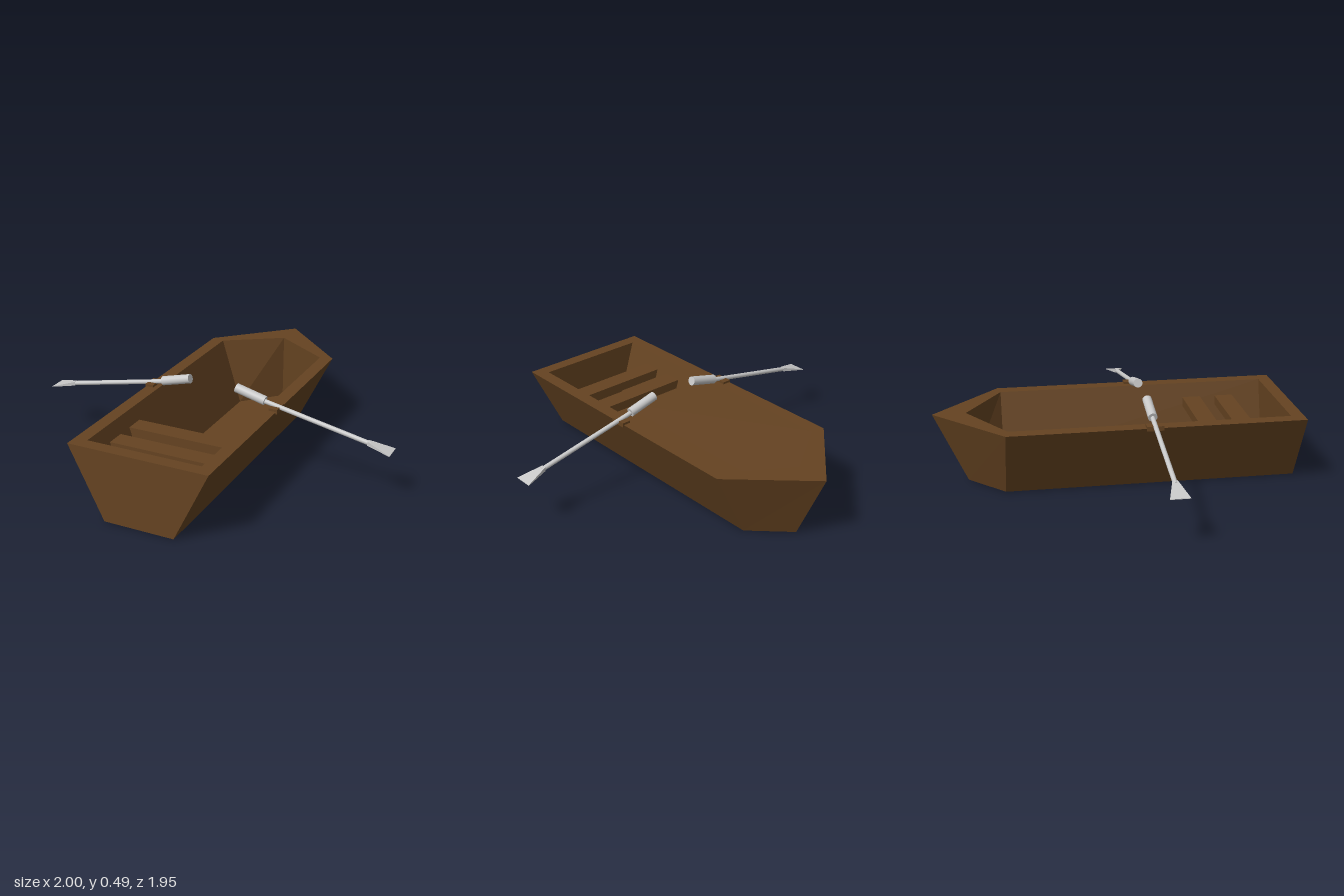
import * as THREE from 'three';

const wood = new THREE.MeshStandardMaterial({ color: 0x654321 });
wood.name = 'brown wood';
const metal = new THREE.MeshStandardMaterial({ color: 0xc8c8c8 });
metal.name = 'light grey';

function add(parent, name, geometry, material) {
  const mesh = new THREE.Mesh(geometry, material);
  mesh.name = name;
  parent.add(mesh);
  return mesh;
}

// Five-cornered boat outline at height y, counterclockwise from above
function outline(y, halfWidth, stern, shoulder, tip) {
  return [
    [-halfWidth, y, stern], [halfWidth, y, stern], [halfWidth, y, shoulder],
    [0, y, tip], [-halfWidth, y, shoulder],
  ];
}

// Closed, flat-faced skin through the outlines: outside, rim, inside
function hullGeometry() {
  const rings = [
    outline(0, 0.193, 0.975, -0.61, -0.8),
    outline(0.388, 0.383, 0.975, -0.61, -0.977),
    outline(0.388, 0.312, 0.905, -0.595, -0.798),
    outline(0.01, 0.196, 0.905, -0.595, -0.796),
  ];
  const positions = [];
  const tri = (a, b, c) => positions.push(...a, ...b, ...c);
  for (let r = 0; r < rings.length - 1; r++) {
    for (let i = 0; i < 5; i++) {
      const j = (i + 1) % 5;
      tri(rings[r][i], rings[r][j], rings[r + 1][j]);
      tri(rings[r][i], rings[r + 1][j], rings[r + 1][i]);
    }
  }
  const bottom = rings[0], floor = rings[3];
  for (let i = 1; i < 4; i++) {
    tri(bottom[0], bottom[i + 1], bottom[i]);
    tri(floor[0], floor[i], floor[i + 1]);
  }
  const geometry = new THREE.BufferGeometry();
  geometry.setAttribute('position', new THREE.Float32BufferAttribute(positions, 3));
  geometry.computeVertexNormals();
  return geometry;
}

// Round rod between two points in the xy plane
function rod(x0, y0, x1, y1, radius) {
  const dx = x1 - x0, dy = y1 - y0;
  return new THREE.CylinderGeometry(radius, radius, Math.hypot(dx, dy), 20)
    .rotateZ(Math.atan2(dy, dx) - Math.PI / 2)
    .translate((x0 + x1) / 2, (y0 + y1) / 2, 0);
}

// Blade that widens and thins towards its outer end
function bladeGeometry() {
  const geometry = new THREE.BoxGeometry(1, 1, 1).toNonIndexed();
  const p = geometry.attributes.position;
  for (let i = 0; i < p.count; i++) {
    const t = p.getX(i) + 0.5;
    p.setXYZ(i,
      0.87 + 0.13 * t,
      0.298 - 0.027 * t + p.getY(i) * (0.022 - 0.019 * t),
      p.getZ(i) * (0.026 + 0.076 * t));
  }
  geometry.computeVertexNormals();
  return geometry;
}

function oar(name) {
  const group = new THREE.Group();
  group.name = name;
  add(group, 'oarHandle', rod(0.136, 0.461, 0.302, 0.418, 0.025), metal);
  add(group, 'oarShaft', rod(0.28, 0.419, 0.884, 0.295, 0.0125), metal);
  add(group, 'oarBlade', bladeGeometry(), metal);
  return group;
}

export function createModel() {
  const boat = new THREE.Group();
  boat.name = 'rowingBoat';

  add(boat, 'hull', hullGeometry(), wood);

  // Bench planks near the stern
  for (const z of [0.5, 0.69]) {
    add(boat, 'seat', new THREE.BoxGeometry(0.586, 0.05, 0.103), wood).position.set(0, 0.285, z);
  }

  // Oars with the pads they rest on
  for (const side of [1, -1]) {
    const label = side > 0 ? 'left' : 'right';
    add(boat, label + 'OarRest', new THREE.BoxGeometry(0.048, 0.025, 0.09), wood)
      .position.set(side * 0.365, 0.388, 0.16);
    const o = oar(label + 'Oar');
    o.position.z = 0.16;
    o.rotation.y = side > 0 ? 0 : Math.PI;
    boat.add(o);
  }
  return boat;
}
